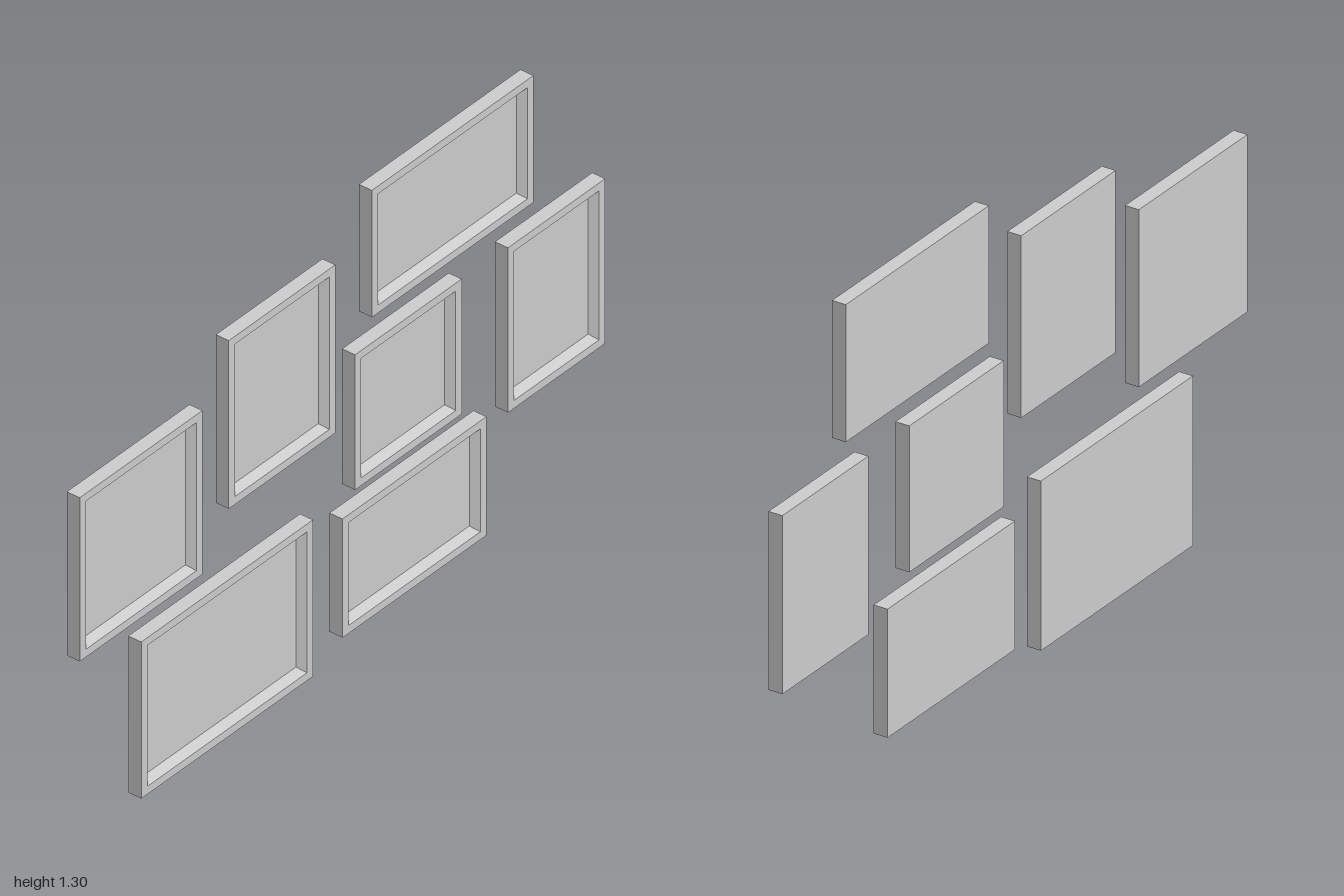
import * as THREE from 'three';

const BACK = -0.02, FRONT = 0.02; // frame depth
const RIM = 0.023;                // flat front border
const INSET = 0.043;              // border plus bevel
const PANEL_Z = 0.002;            // recessed picture surface

// left, right, bottom, top of each frame
const FRAMES = {
  upperLeftFrame: [-1, -0.533, 0.53, 1.01],
  tallFrame: [-0.433, -0.027, 0.667, 1.16],
  topWideFrame: [0.112, 0.727, 0.93, 1.302],
  smallFrame: [0.048, 0.454, 0.459, 0.855],
  rightTallFrame: [0.63, 1, 0.367, 0.85],
  lowerLeftFrame: [-0.766, -0.112, 0, 0.459],
  lowerWideFrame: [0, 0.548, 0.052, 0.4],
};

// rectangular loop, counter-clockwise from the front
const loop = (w, h, inset, z) => {
  const x = w / 2 - inset, y = h / 2 - inset;
  return [[-x, -y, z], [x, -y, z], [x, y, z], [-x, y, z]];
};

// skin consecutive loops with flat quads
function frameGeometry(w, h) {
  const loops = [
    loop(w, h, 0, BACK), loop(w, h, 0, FRONT),
    loop(w, h, RIM, FRONT), loop(w, h, INSET, PANEL_Z),
  ];
  const pos = [];
  const quad = (a, b, c, d) => pos.push(...a, ...b, ...c, ...a, ...c, ...d);
  for (let i = 0; i < loops.length - 1; i++) {
    for (let k = 0; k < 4; k++) {
      const n = (k + 1) % 4;
      quad(loops[i][k], loops[i][n], loops[i + 1][n], loops[i + 1][k]);
    }
  }
  const [a, b, c, d] = loops[0];
  quad(d, c, b, a); // closed back
  const geometry = new THREE.BufferGeometry();
  geometry.setAttribute('position', new THREE.Float32BufferAttribute(pos, 3));
  geometry.computeVertexNormals();
  return geometry;
}

export function createModel() {
  const model = new THREE.Group();
  model.name = 'pictureFrameWall';
  const material = new THREE.MeshStandardMaterial({ color: 0xcccccc, flatShading: true });

  for (const [name, [x0, x1, y0, y1]] of Object.entries(FRAMES)) {
    const w = x1 - x0, h = y1 - y0;
    const group = new THREE.Group();
    group.name = name;
    group.position.set((x0 + x1) / 2, (y0 + y1) / 2, 0);

    // bevelled moulding with closed back
    const moulding = new THREE.Mesh(frameGeometry(w, h), material);
    moulding.name = 'moulding';

    // recessed picture
    const picture = new THREE.Mesh(
      new THREE.PlaneGeometry(w - 2 * INSET, h - 2 * INSET), material);
    picture.name = 'picturePanel';
    picture.position.z = PANEL_Z;

    group.add(moulding, picture);
    model.add(group);
  }
  return model;
}
